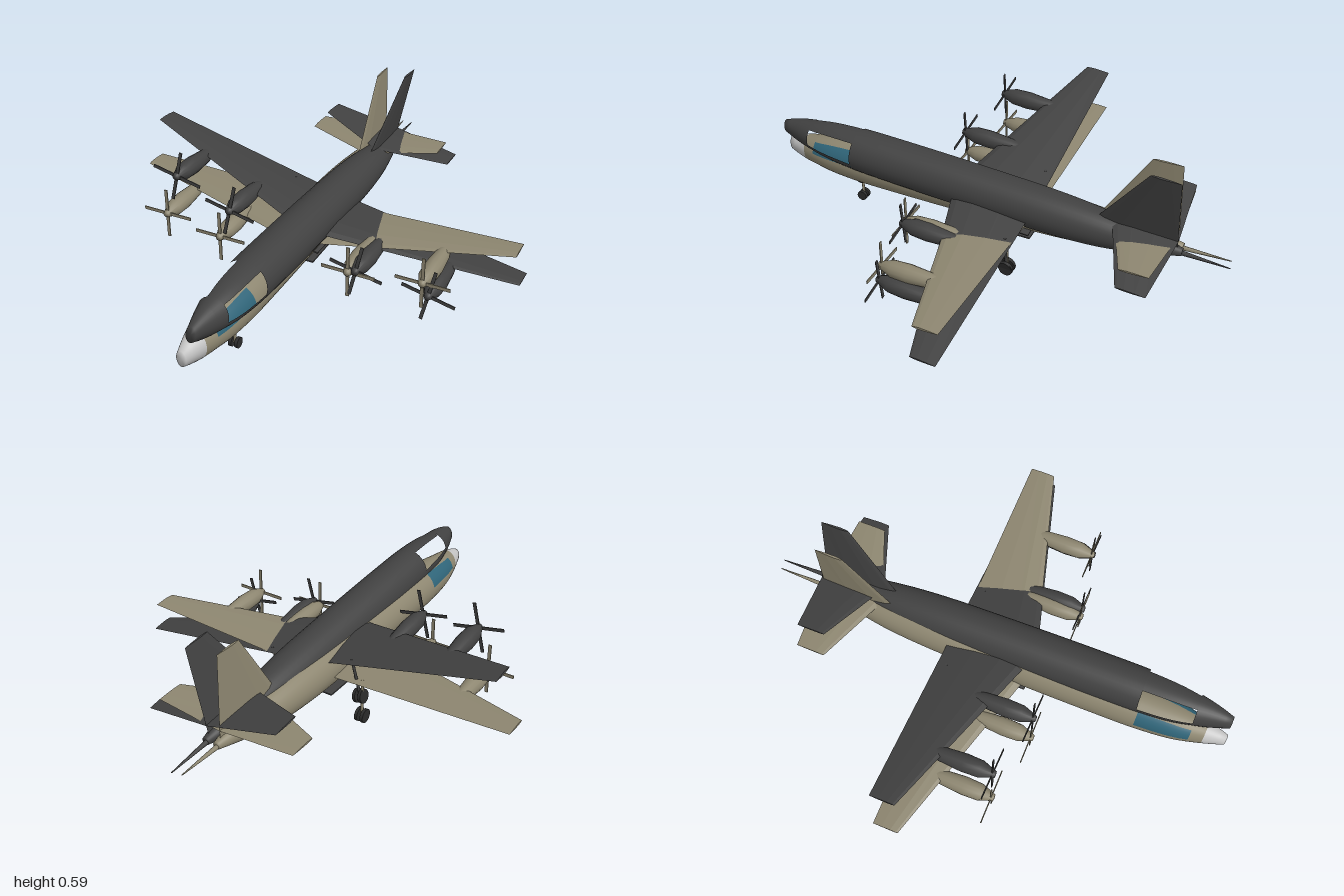
import * as THREE from 'three';

const mat = (name, color) => Object.assign(new THREE.MeshStandardMaterial({ color }), { name });
const tan = mat('tan paint', 0x8d8670);
const dark = mat('dark grey paint', 0x414141);
const glass = mat('blue glass', 0x2f6478);
const noseGrey = mat('light grey radome', 0xc4c4c4);
const rubber = mat('black rubber', 0x2b2b2b);

const rad = THREE.MathUtils.degToRad;

function add(parent, name, geometry, material, x = 0, y = 0, z = 0) {
  const mesh = new THREE.Mesh(geometry, material);
  mesh.name = name;
  mesh.position.set(x, y, z);
  parent.add(mesh);
  return mesh;
}

// Fuselage radius along z, tail to nose
const bodyCurve = new THREE.CatmullRomCurve3([
  [-0.81, 0.016], [-0.68, 0.045], [-0.5, 0.074], [-0.3, 0.089], [0, 0.094], [0.45, 0.094],
  [0.65, 0.09], [0.8, 0.076], [0.9, 0.051], [1, 0.02],
].map(([z, r]) => new THREE.Vector3(r, z, 0)));
const bodySamples = bodyCurve.getPoints(120);

function radiusAt(z) {
  for (let i = 1; i < bodySamples.length; i++) {
    const a = bodySamples[i - 1], b = bodySamples[i];
    if (z <= b.y) return a.x + (b.x - a.x) * Math.max(0, (z - a.y) / (b.y - a.y));
  }
  return 0.02;
}

// Fuselage shell between two z stations; angles run from the belly over the left side
function shell(z0, z1, from = 0, to = 360) {
  const n = Math.max(3, Math.ceil((z1 - z0) / 0.04));
  const pts = [];
  if (z0 < -0.8) pts.push(new THREE.Vector2(0, z0));
  for (let i = 0; i <= n; i++) {
    const z = z0 + (z1 - z0) * i / n;
    pts.push(new THREE.Vector2(radiusAt(z), z));
  }
  if (z1 > 0.99) pts.push(new THREE.Vector2(0, z1));
  const segments = Math.max(4, Math.round((to - from) / 11.25));
  const g = new THREE.LatheGeometry(pts, segments, rad(from), rad(to - from)).rotateX(Math.PI / 2);
  // taller than wide towards the nose, and the tail sweeps up a little
  const p = g.attributes.position;
  for (let i = 0; i < p.count; i++) {
    const z = p.getZ(i);
    p.setY(i, p.getY(i) * (1 + 4.5 * Math.max(0, z - 0.84)) + 0.04 * Math.max(0, -z - 0.5));
  }
  return g;
}

// Lifting surface lofted along x; stations are [x, y, trailing z, leading z, half thickness]
const foil = [[0, 0], [0.35, 0.7], [0.7, 1], [0.92, 0.6], [1, 0], [0.92, -0.6], [0.7, -1], [0.35, -0.7]];
function loft(stations) {
  const rings = stations.map(([x, y, te, le, h]) =>
    foil.map(([t, v]) => [x, y + v * h, te + (le - te) * t]));
  const v = [], n = foil.length;
  for (let s = 0; s < rings.length - 1; s++) {
    for (let i = 0; i < n; i++) {
      const j = (i + 1) % n, A = rings[s], B = rings[s + 1];
      v.push(...A[i], ...A[j], ...B[i], ...A[j], ...B[j], ...B[i]);
    }
  }
  const first = rings[0], last = rings[rings.length - 1];
  for (let i = 1; i < n - 1; i++) {
    v.push(...last[0], ...last[i], ...last[i + 1]);
    v.push(...first[0], ...first[i + 1], ...first[i]);
  }
  const g = new THREE.BufferGeometry();
  g.setAttribute('position', new THREE.Float32BufferAttribute(v, 3));
  g.computeVertexNormals();
  return g;
}
const fullSpan = (root, tip) => loft([[-tip[0], ...tip.slice(1)], root, tip]);

// Engine pod with a four-bladed propeller
function engine(paint, x, y, front) {
  const group = new THREE.Group();
  group.name = 'engine';
  group.position.set(x, y, front);
  const profile = [[0, -0.33], [0.012, -0.32], [0.03, -0.23], [0.038, -0.13], [0.035, -0.06], [0.013, 0], [0, 0.002]]
    .map(([r, z]) => new THREE.Vector2(r, z));
  add(group, 'nacelle', new THREE.LatheGeometry(profile, 14).rotateX(Math.PI / 2), paint);
  for (let i = 0; i < 2; i++) {
    const blades = add(group, 'propellerBlades', new THREE.BoxGeometry(0.014, 0.225, 0.004), paint, 0, 0, -0.012);
    blades.rotation.z = i * Math.PI / 2;
  }
  return group;
}

// Strut with a pair of wheels
function gear(paint, name, x, z, top, radius) {
  const group = new THREE.Group();
  group.name = name;
  group.position.set(x, 0, z);
  const hub = -0.2 + radius;
  add(group, 'strut', new THREE.CylinderGeometry(0.006, 0.006, top - hub, 8), paint, 0, (top + hub) / 2, 0);
  add(group, 'axle', new THREE.CylinderGeometry(0.005, 0.005, 0.03, 8).rotateZ(Math.PI / 2), paint, 0, hub, 0);
  for (const s of [-1, 1]) {
    add(group, 'wheel', new THREE.CylinderGeometry(radius, radius, 0.013, 16).rotateZ(Math.PI / 2), rubber, s * 0.013, hub, 0);
  }
  return group;
}

function aircraft(name, paint, nosePaint, glazing, low, high) {
  const plane = new THREE.Group();
  plane.name = name;

  // fuselage, with the cockpit section split around its side openings
  const z0 = 0.63, z1 = 0.855;
  add(plane, 'rearFuselage', shell(-0.81, z0), paint);
  add(plane, 'cockpitBelly', shell(z0, z1, -90 - low, 90 + low), paint);
  add(plane, 'cockpitRoof', shell(z0, z1, 90 + high, 270 - high), paint);
  if (glazing) {
    add(plane, 'leftWindow', shell(z0, z1, 90 + low, 90 + high), glazing);
    add(plane, 'rightWindow', shell(z0, z1, 270 - high, 270 - low), glazing);
  }
  add(plane, 'forwardFuselage', shell(z1, 0.91), paint);
  add(plane, 'noseCone', shell(0.91, 1), nosePaint);
  add(plane, 'tailBoom', new THREE.CylinderGeometry(0.002, 0.011, 0.22, 8).rotateX(-Math.PI / 2), paint, 0, 0.007, -0.89);
  add(plane, 'bellyPanel', new THREE.BoxGeometry(0.165, 0.006, 0.35), dark, 0, -0.094, -0.02);

  // wing, tailplane and fin
  add(plane, 'wing', fullSpan([0, -0.012, -0.19, 0.17, 0.017], [0.85, 0.02, -0.18, -0.075, 0.005]), paint);
  add(plane, 'tailplane', fullSpan([0, 0.065, -0.79, -0.52, 0.008], [0.305, 0.07, -0.765, -0.645, 0.004]), paint);
  add(plane, 'fin', loft([[0.02, 0, -0.79, -0.43, 0.01], [0.38, 0, -0.775, -0.655, 0.005]]).rotateZ(Math.PI / 2), paint);

  // engines and undercarriage
  for (const s of [-1, 1]) {
    plane.add(engine(paint, s * 0.285, -0.012, 0.275));
    plane.add(engine(paint, s * 0.572, -0.01, 0.22));
    plane.add(gear(paint, 'mainGear', s * 0.2, -0.15, 0, 0.03));
  }
  plane.add(gear(paint, 'noseGear', 0, 0.645, -0.07, 0.022));
  return plane;
}

export function createModel() {
  const model = new THREE.Group();
  model.name = 'pairedAircraft';

  // level aircraft standing on its wheels
  const level = aircraft('tanAircraft', tan, noseGrey, glass, 12, 58);
  level.position.set(-0.015, 0.2, 0);
  model.add(level);

  // banked, nose-up aircraft overlapping it, with open cockpit sides
  const banked = aircraft('darkAircraft', dark, dark, null, -4, 58);
  banked.position.set(0.025, 0.254, -0.008);
  banked.rotation.set(-0.057, 0, -0.208);
  model.add(banked);
  return model;
}
